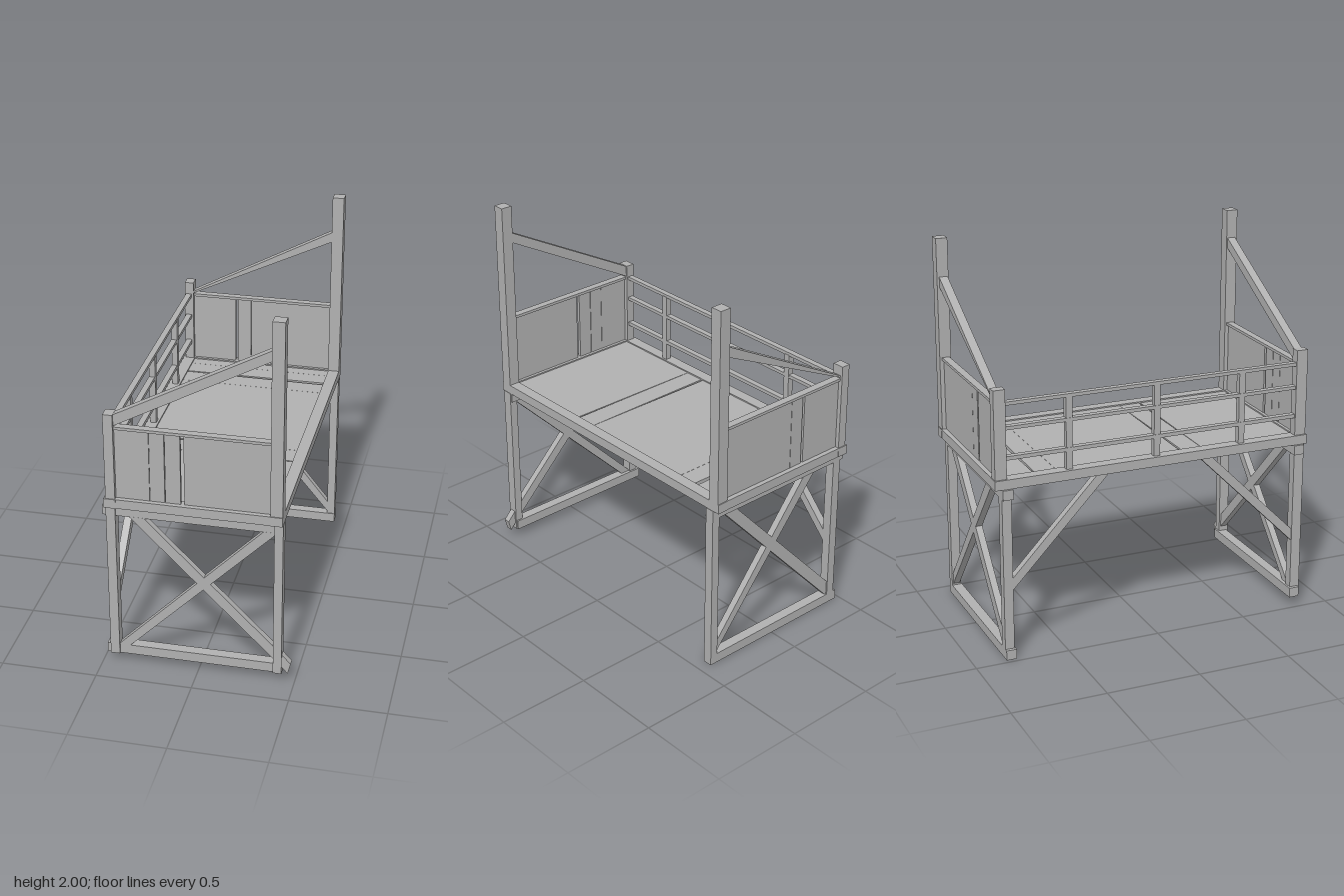
import * as THREE from 'three';

export function createModel() {
  const root = new THREE.Group();
  root.name = 'loftBedFrame';
  const wood = new THREE.MeshStandardMaterial({ color: 0xb0b0b0 });
  wood.name = 'plainGrey';

  // Box given by its extents on each axis
  function box(name, x0, x1, y0, y1, z0, z1) {
    const m = new THREE.Mesh(new THREE.BoxGeometry(x1 - x0, y1 - y0, z1 - z0), wood);
    m.name = name;
    m.position.set((x0 + x1) / 2, (y0 + y1) / 2, (z0 + z1) / 2);
    root.add(m);
    return m;
  }

  // Outline drawn in x/y, extruded from z0 to z1
  function slab(name, points, z0, z1) {
    const shape = new THREE.Shape(points.map(p => new THREE.Vector2(p[0], p[1])));
    const g = new THREE.ExtrudeGeometry(shape, { depth: z1 - z0, bevelEnabled: false });
    const m = new THREE.Mesh(g, wood);
    m.name = name;
    m.position.z = z0;
    root.add(m);
    return m;
  }

  // Each end: leg depth, bottom beam height, panel gaps and brace slope
  const ends = [
    { name: 'front', s: 1, leg: [0.80, 0.855], beam: [0.79, 0.845], y0: 0.05, braceTop: 1.85,
      boards: [[-0.41, -0.237], [-0.235, -0.16], [-0.157, -0.08], [-0.062, 0.375]] },
    { name: 'back', s: -1, leg: [-0.83, -0.78], beam: [-0.83, -0.775], y0: 0, braceTop: 1.80,
      boards: [[-0.41, -0.168], [-0.155, -0.08], [-0.078, 0.375]] },
  ];

  for (const e of ends) {
    const { name, s, y0 } = e;
    const zr = (a, b) => (s > 0 ? [a, b] : [-b, -a]);

    // Posts above the deck and legs below it
    box(name + 'TallPost', 0.37, 0.432, 0.93, 2, ...zr(0.80, 0.862));
    box(name + 'ShortPost', -0.457, -0.408, 0.93, 1.433, ...zr(0.80, 0.862));
    box(name + 'LeftLeg', 0.39, 0.434, y0, 0.92, ...e.leg);
    box(name + 'RightLeg', -0.46, -0.412, y0, 0.92, ...e.leg);

    // Cross beams at foot and under the deck
    box(name + 'FootBeam', -0.478, 0.43, y0, y0 + 0.053, ...e.beam);
    box(name + 'TopBeam', -0.48, 0.43, 0.868, 0.92, ...e.beam);

    // Boarded end panel with cap rail
    for (const [a, b] of e.boards) box(name + 'PanelBoard', a, b, 0.97, 1.352, ...zr(0.822, 0.84));
    box(name + 'PanelCap', -0.41, 0.375, 1.35, 1.365, ...zr(0.81, 0.85));

    // Sloping brace between short and tall posts
    const t = e.braceTop;
    slab(name + 'SlopingBrace', [[-0.41, 1.37], [0.375, t - 0.055], [0.375, t], [-0.41, t - 0.42]], ...zr(0.805, 0.85));

    // Crossed braces between the legs
    const [c0, c1] = [(e.leg[0] + e.leg[1]) / 2 - 0.018, (e.leg[0] + e.leg[1]) / 2 + 0.018];
    const foot = y0 + 0.05;
    slab(name + 'RisingBrace', s > 0
      ? [[-0.42, foot], [-0.36, foot], [0.39, 0.855], [0.39, 0.87], [0.335, 0.87], [-0.42, 0.10]]
      : [[-0.42, foot], [-0.405, foot], [0.35, 0.87], [0.27, 0.87], [-0.42, 0.125]], c0, c1);
    slab(name + 'FallingBrace', s > 0
      ? [[-0.27, 0.87], [-0.345, 0.87], [0.43, 0.09], [0.465, 0.05], [0.48, 0.11], [0.43, 0.165]]
      : [[-0.205, 0.87], [-0.28, 0.87], [0.38, 0.075], [0.40, 0.05], [0.41, 0.10]], c0, c1);

    // End rim of the deck
    box(name + 'DeckRim', -0.41, 0.375, 0.92, 0.97, ...zr(0.805, 0.865));

    // Knee brace along the railing side, drawn in z/y then turned
    const w = s > 0 ? 0.805 : 0.78;
    const pts = [[w, 0.37], [w, 0.435], [0.32, 0.92], [0.255, 0.92]].map(p => [-s * p[0], p[1]]);
    const knee = slab(name + 'KneeBrace', pts, 0, 0.04);
    knee.rotation.y = Math.PI / 2;
    knee.position.set(-0.455, 0, 0);
  }

  // Long deck rims
  box('leftDeckRim', 0.372, 0.432, 0.92, 0.97, -0.867, 0.867);
  box('rightDeckRim', -0.467, -0.405, 0.92, 0.97, -0.867, 0.867);

  // Deck boards: front and back edges at each end, leaving slim tapered gaps
  const seams = [
    [-0.806, -0.806, -0.745, -0.742],
    [-0.744, -0.741, -0.642, -0.648],
    [-0.634, -0.626, -0.523, -0.523],
    [-0.522, -0.522, 0.160, 0.160],
    [0.172, 0.161, 0.281, 0.277],
    [0.283, 0.285, 0.806, 0.806],
  ];
  for (const [a, b, c, d] of seams) {
    const m = slab('deckBoard', [[-0.406, -a], [-0.406, -c], [0.373, -d], [0.373, -b]], 0, 0.025);
    m.rotation.x = -Math.PI / 2;
    m.position.set(0, 0.938, 0);
  }

  // Railing along the right side
  for (const [a, b] of [[1.348, 1.366], [1.222, 1.24], [1.065, 1.085]])
    box('guardRail', -0.45, -0.418, a, b, -0.80, 0.80);
  for (const z of [0.49, 0.012, -0.465])
    box('guardUpright', -0.448, -0.416, 0.96, 1.352, z - 0.017, z + 0.017);

  return root;
}
